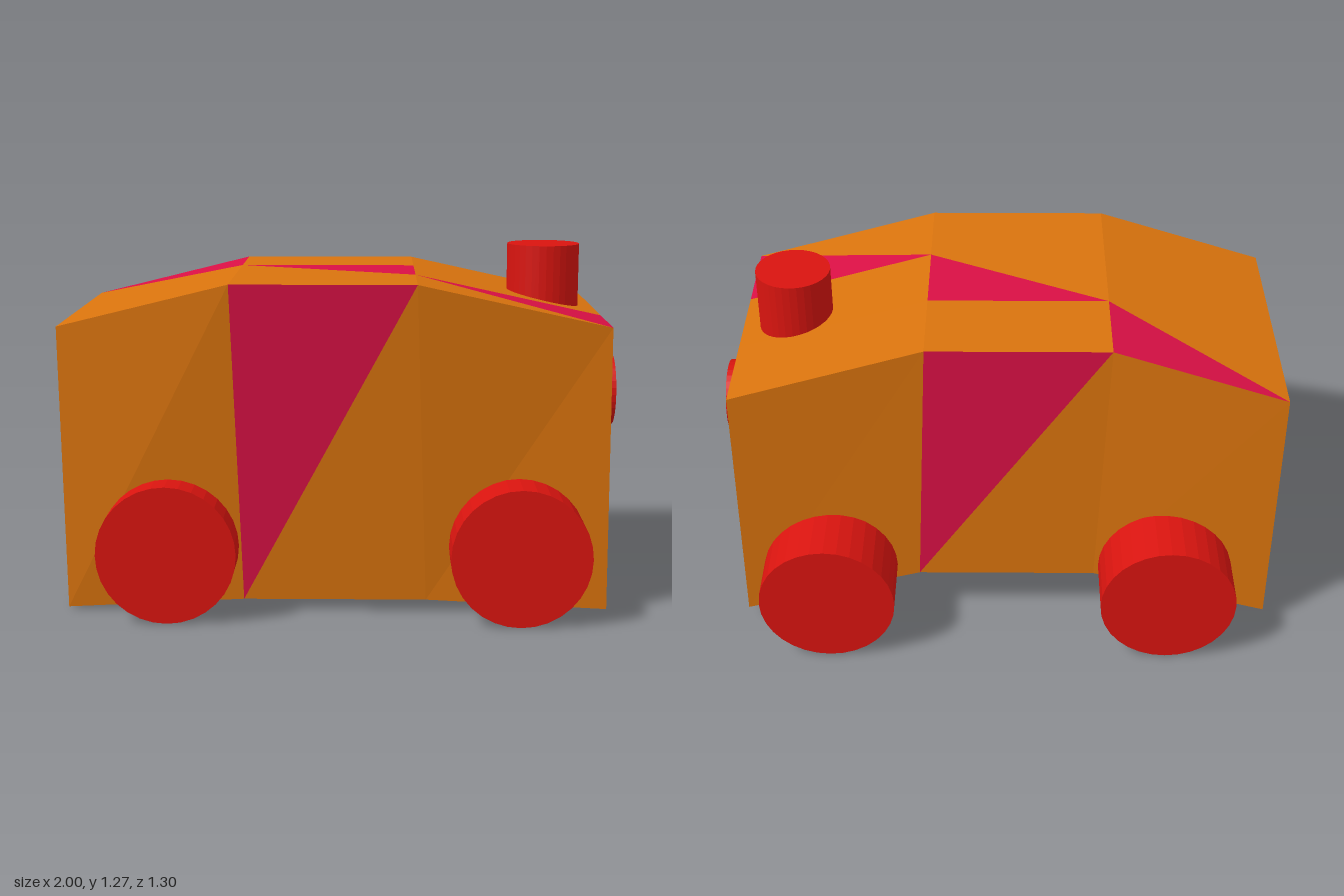
import * as THREE from 'three';

// Corner grids of the body: index i runs along x, j from back to front
const topX = [-1, -0.395, 0.25, 0.926];
const topY = [1.03, 1.185, 1.185, 1.03];
const topZ = [-0.475, -0.15, 0.17, 0.488];
const baseX = [-0.99, -0.36, 0.29, 0.935];
const baseZ = [-0.47, -0.15, 0.15, 0.47];
const baseEndY = [0.065, 0.05, 0.022, 0.013];
const baseMidY = [0.19, 0.14, 0.09, 0.045];

const isMiddle = (i) => i === 1 || i === 2;

// The middle of the body bows slightly towards the front
const top = (i, j) => [topX[i], topY[i], topZ[j] + (isMiddle(i) ? 0.07 : 0)];
const base = (i, j) => [
  baseX[i] - (i === 0 && j < 2 ? 0.01 : 0),
  isMiddle(i) ? baseMidY[j] : baseEndY[j],
  baseZ[j] + (isMiddle(i) && j === 0 ? 0.06 : 0),
];

function facetMesh(name, points, material) {
  const geometry = new THREE.BufferGeometry();
  geometry.setAttribute('position', new THREE.Float32BufferAttribute(points.flat(), 3));
  geometry.computeVertexNormals();
  const mesh = new THREE.Mesh(geometry, material);
  mesh.name = name;
  return mesh;
}

function createBody(orange, crimson) {
  const panels = [];
  const patches = [];

  // Side panel seen from outside: top left, top right, bottom left, bottom right
  const wall = (tl, tr, bl, br, accent) => {
    (accent ? patches : panels).push(tl, bl, tr);
    panels.push(bl, br, tr);
  };
  for (let k = 0; k < 3; k++) {
    const n = k + 1;
    const accent = k === 1;
    wall(top(k, 3), top(n, 3), base(k, 3), base(n, 3), accent); // front
    wall(top(n, 0), top(k, 0), base(n, 0), base(k, 0), accent); // back
    wall(top(3, n), top(3, k), base(3, n), base(3, k), accent); // left end
    wall(top(0, k), top(0, n), base(0, k), base(0, n), accent); // right end
  }

  // Roof with a diagonal run of accent triangles, and underside
  for (let i = 0; i < 3; i++) {
    for (let j = 0; j < 3; j++) {
      const a = top(i, j), b = top(i, j + 1), c = top(i + 1, j + 1), d = top(i + 1, j);
      panels.push(a, b, c);
      (i === j ? patches : panels).push(a, c, d);
      const e = base(i, j), f = base(i, j + 1), g = base(i + 1, j + 1), h = base(i + 1, j);
      panels.push(e, h, f, h, g, f);
    }
  }

  const body = new THREE.Group();
  body.name = 'body';
  body.add(facetMesh('bodyPanels', panels, orange), facetMesh('accentTriangles', patches, crimson));
  return body;
}

export function createModel() {
  const orange = new THREE.MeshStandardMaterial({ color: 0xd9730d, flatShading: true });
  const crimson = new THREE.MeshStandardMaterial({ color: 0xd91045, flatShading: true });
  const red = new THREE.MeshStandardMaterial({ color: 0xd9140f, flatShading: true });

  const model = new THREE.Group();
  model.name = 'toyTrain';
  model.add(createBody(orange, crimson));

  const addCylinder = (name, radius, length, x, y, z, axis) => {
    const geometry = new THREE.CylinderGeometry(radius, radius, length, 32);
    if (axis === 'x') geometry.rotateZ(-Math.PI / 2);
    if (axis === 'z') geometry.rotateX(Math.PI / 2);
    const mesh = new THREE.Mesh(geometry, red);
    mesh.name = name;
    mesh.position.set(x, y, z);
    model.add(mesh);
  };

  // Wheels
  const wheels = [
    ['frontRightWheel', -0.62, 0.375, 0.625],
    ['frontLeftWheel', 0.615, 0.4, 0.652],
    ['backRightWheel', -0.62, -0.652, -0.428],
    ['backLeftWheel', 0.615, -0.652, -0.428],
  ];
  for (const [name, x, z0, z1] of wheels) {
    addCylinder(name, 0.245, z1 - z0, x, 0.247, (z0 + z1) / 2, 'z');
  }

  // Chimney on the roof and round lamp on the end
  addCylinder('chimney', 0.133, 0.255, 0.73, 1.148, -0.016, 'y');
  addCylinder('lamp', 0.133, 0.12, 0.94, 0.725, -0.016, 'x');

  return model;
}
